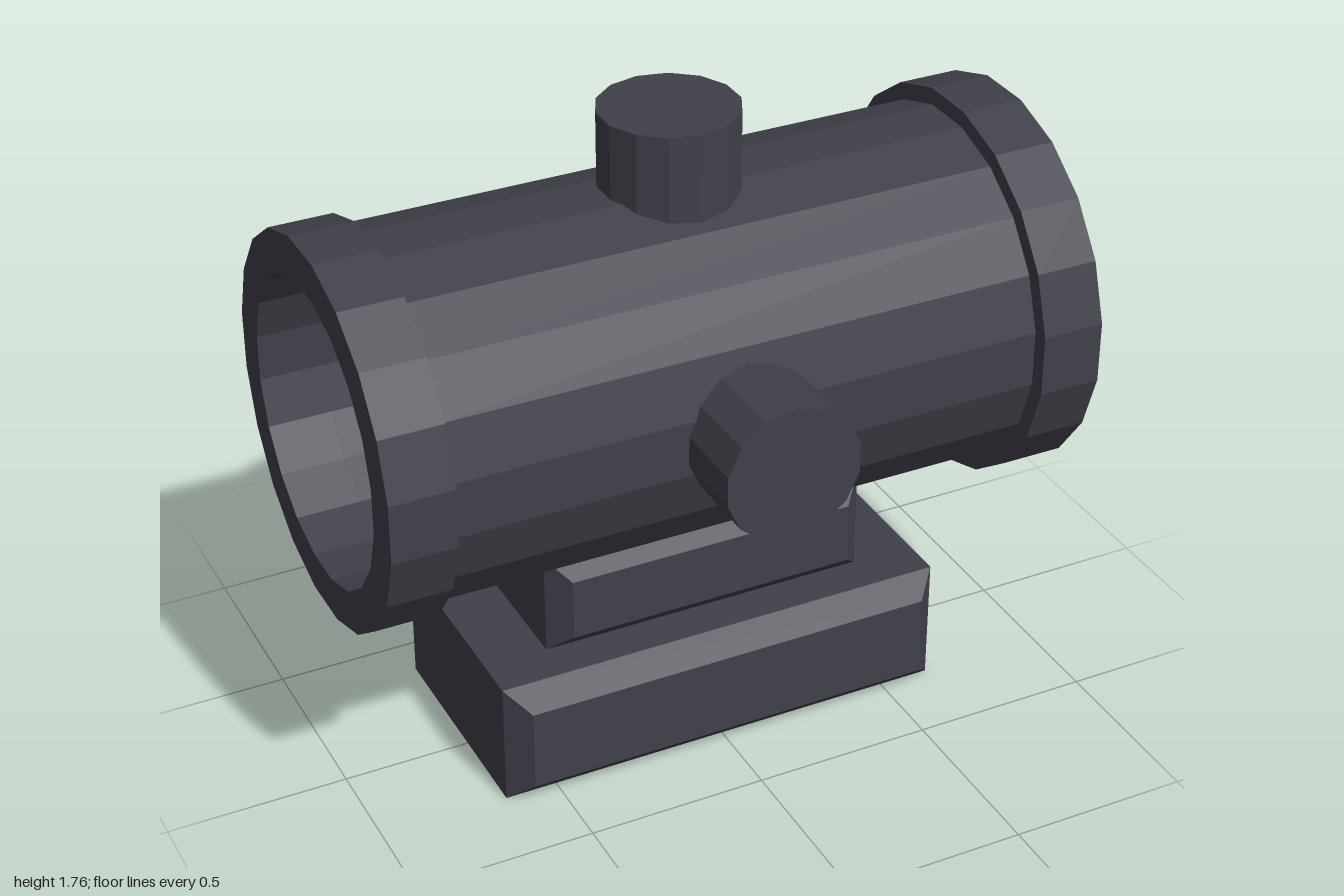
import * as THREE from 'three';

const AXIS_Y = 1.065, AXIS_Z = -0.06; // centre line of the tube
const SIDES = 20, BORE = 0.415;

const darkMetal = new THREE.MeshStandardMaterial({ color: 0x40404a, flatShading: true });
const brass = new THREE.MeshStandardMaterial({ color: 0xcda834, flatShading: true });
const lensGlass = new THREE.MeshStandardMaterial({ color: 0xd0997a, flatShading: true, side: THREE.DoubleSide });

export function createModel() {
  const model = new THREE.Group();

  const add = (name, geometry, material, x, y, z) => {
    const mesh = new THREE.Mesh(geometry, material);
    mesh.name = name;
    mesh.position.set(x, y, z);
    model.add(mesh);
    return mesh;
  };

  // Hollow section of the tube between two x positions
  const tubeSection = (name, radius, x0, x1) => {
    const profile = [[BORE, x0], [radius, x0], [radius, x1], [BORE, x1], [BORE, x0]]
      .map(([r, x]) => new THREE.Vector2(r, x));
    const geometry = new THREE.LatheGeometry(profile, SIDES, Math.PI / SIDES);
    geometry.rotateZ(-Math.PI / 2);
    add(name, geometry, darkMetal, 0, AXIS_Y, AXIS_Z);
  };
  tubeSection('bodyTube', 0.498, -0.825, 0.825);
  tubeSection('rearRing', 0.529, -1, -0.825);
  tubeSection('lensRing', 0.545, 0.825, 1);

  // Recessed lens
  const lens = new THREE.CircleGeometry(BORE, SIDES, Math.PI / SIDES);
  lens.rotateY(Math.PI / 2);
  add('lens', lens, lensGlass, 0.82, AXIS_Y, AXIS_Z);

  // Adjustment knobs on top and front
  const knob = new THREE.CylinderGeometry(0.19, 0.19, 0.275, 14);
  add('topKnob', knob, darkMetal, 0, 1.6275, AXIS_Z);
  add('frontKnob', knob, darkMetal, 0, AXIS_Y - 0.005, 0.5075).rotation.x = Math.PI / 2;

  // Small brass button on the back
  const button = new THREE.CylinderGeometry(0.118, 0.118, 0.16, 10);
  add('brassButton', button, brass, -0.472, AXIS_Y - 0.005, -0.57).rotation.x = -Math.PI / 2;

  // Mount blocks, chamfered around their front and back faces
  const mountBlock = (name, width, y0, y1, z0, z1, bevel) => {
    const w = width / 2 - bevel, b = y0 + bevel, t = y1 - bevel;
    const shape = new THREE.Shape([
      new THREE.Vector2(-w, b), new THREE.Vector2(w, b),
      new THREE.Vector2(w, t), new THREE.Vector2(-w, t),
    ]);
    const geometry = new THREE.ExtrudeGeometry(shape, {
      depth: z1 - z0 - 2 * bevel,
      bevelEnabled: true, bevelSegments: 1, bevelSize: bevel, bevelThickness: bevel,
    });
    add(name, geometry, darkMetal, 0, 0, z0 + bevel);
  };
  mountBlock('mountBase', 1.29, 0, 0.355, -0.44, 0.325, 0.06);
  mountBlock('mountNeck', 0.935, 0.355, 0.645, -0.32, 0.205, 0.057);

  return model;
}
